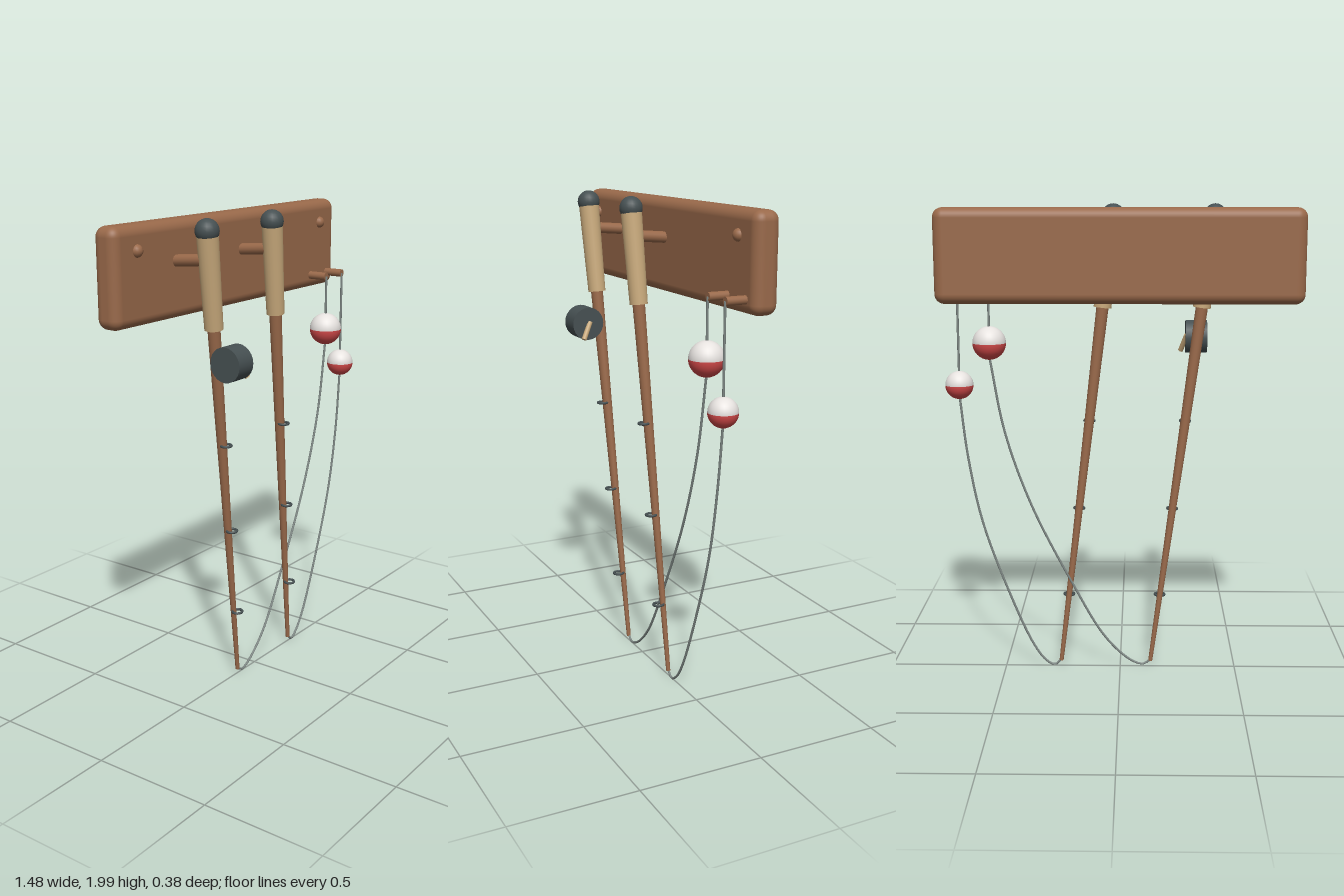
import * as THREE from 'three';
import { RoundedBoxGeometry } from 'three/addons/geometries/RoundedBoxGeometry.js';

const mat = (name, color) => {
  const m = new THREE.MeshStandardMaterial({ color });
  m.name = name;
  return m;
};
const V = (x, y, z) => new THREE.Vector3(x, y, z);
const UP = V(0, 1, 0);

export function createModel() {
  const wood = mat('brown wood', 0x99694a);
  const cork = mat('tan cork', 0xc9aa7c);
  const metal = mat('dark metal', 0x465052);
  const cord = mat('grey line', 0x7d8683);
  const red = mat('red paint', 0xcf4848);
  const white = mat('white paint', 0xe6e2df);

  const model = new THREE.Group();
  model.name = 'fishingRodRack';

  const add = (name, geo, material, pos, parent = model) => {
    const m = new THREE.Mesh(geo, material);
    m.name = name;
    if (pos) m.position.copy(pos);
    parent.add(m);
    return m;
  };
  // Tapered round bar from a to b
  const bar = (name, a, b, ra, rb, material, parent = model, sides = 16) => {
    const dir = b.clone().sub(a);
    const geo = new THREE.CylinderGeometry(rb, ra, dir.length(), sides);
    const m = add(name, geo, material, a.clone().lerp(b, 0.5), parent);
    m.quaternion.setFromUnitVectors(UP, dir.normalize());
    return m;
  };

  // Wall board with two round screw heads
  add('board', new RoundedBoxGeometry(1.48, 0.38, 0.108, 5, 0.04), wood, V(0, 1.795, -0.138));
  for (const x of [-0.613, 0.613]) {
    add('screwHead', new THREE.SphereGeometry(0.025, 16, 12), wood, V(x, 1.89, -0.088));
  }

  // Rod hanging by its handle, tip down, with line guides and a peg
  const buildRod = (name, topX, tipX) => {
    const rod = new THREE.Group();
    rod.name = name;
    model.add(rod);
    const top = V(topX, 1.952, 0.065), tip = V(tipX, 0.03, 0.004);
    const at = y => top.clone().lerp(tip, (top.y - y) / (top.y - tip.y));
    bar('shaft', at(1.6), tip, 0.026, 0.009, wood, rod);
    bar('handle', at(1.573), top, 0.037, 0.043, cork, rod, 20);
    add('pommel', new THREE.SphereGeometry(0.047, 20, 14), metal, top, rod);
    bar('peg', V(topX, 1.83, -0.1), V(topX, 1.842, 0.04), 0.023, 0.023, wood, rod);
    const axis = tip.clone().sub(top).normalize();
    for (const y of [1.092, 0.71, 0.325]) {
      const ring = add('lineGuide', new THREE.TorusGeometry(0.021, 0.0055, 8, 18), metal,
        at(y).add(V(0, 0, 0.021)), rod);
      ring.quaternion.setFromUnitVectors(V(0, 0, 1), axis.clone().lerp(V(0, -1, 0), 0.7).normalize());
    }
  };
  buildRod('leftRod', -0.39, -0.132);
  buildRod('rightRod', 0.03, 0.258);

  // Reel drum with its crank
  const reel = new THREE.Group();
  reel.name = 'reel';
  model.add(reel);
  const drum = add('drum', new THREE.CylinderGeometry(0.07, 0.07, 0.09, 24), metal, V(-0.32, 1.445, 0.123), reel);
  drum.rotation.z = Math.PI / 2;
  bar('crank', V(-0.28, 1.452, 0.113), V(-0.256, 1.382, 0.152), 0.011, 0.011, cork, reel, 12);

  // Bobbers: peg, hanging line, two-tone float and slack line to the rod tip
  const buildBobber = (name, x, y, r, path) => {
    const g = new THREE.Group();
    g.name = name;
    model.add(g);
    bar('linePeg', V(x, 1.663, -0.1), V(x, 1.663, 0), 0.017, 0.017, wood, g);
    bar('hangingLine', V(x, y + r * 0.9, 0), V(x, 1.663, 0), 0.005, 0.005, cord, g, 8);
    const half = Math.PI / 2;
    add('floatTop', new THREE.SphereGeometry(r, 28, 10, 0, Math.PI * 2, 0, half), white, V(x, y, 0), g);
    add('floatBottom', new THREE.SphereGeometry(r, 28, 10, 0, Math.PI * 2, half, half), red, V(x, y, 0), g);
    const curve = new THREE.CatmullRomCurve3(
      path.map(([px, py], i) => V(px, py, i < 2 ? 0.004 : 0.002)).concat(V(x, y - r * 0.9, 0)));
    add('slackLine', new THREE.TubeGeometry(curve, 80, 0.005, 8), cord, null, g);
  };
  buildBobber('largeBobber', 0.545, 1.43, 0.07,
    [[-0.132, 0.035], [-0.102, 0.014], [-0.045, 0.034], [0.065, 0.14], [0.21, 0.39], [0.38, 0.735], [0.487, 1.05]]);
  buildBobber('smallBobber', 0.674, 1.253, 0.059,
    [[0.258, 0.035], [0.287, 0.009], [0.325, 0.03], [0.38, 0.107], [0.5, 0.39], [0.593, 0.67], [0.646, 0.945]]);

  return model;
}
